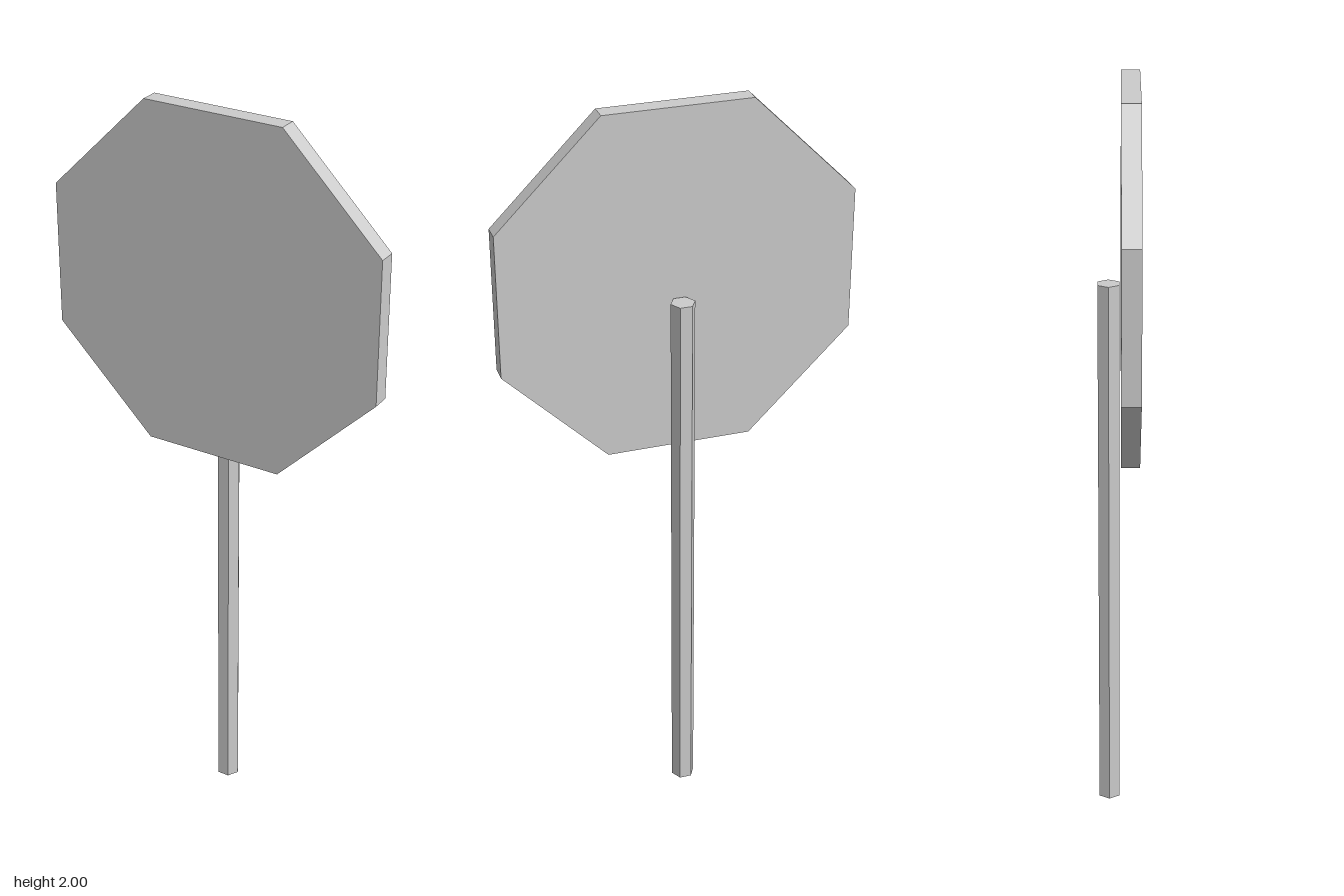
import * as THREE from 'three';

// Regular prism along y, turned so its sides line up with the axes
function prism(name, radius, length, sides) {
  const geometry = new THREE.CylinderGeometry(radius, radius, length, sides, 1, false, Math.PI / sides);
  const material = new THREE.MeshStandardMaterial({ color: 0xcccccc, flatShading: true });
  const mesh = new THREE.Mesh(geometry, material);
  mesh.name = name;
  return mesh;
}

export function createModel() {
  const group = new THREE.Group();
  group.name = 'octagonalSign';

  // Octagonal panel, facing forward
  const halfWidth = 0.46;
  const panel = prism('signPanel', halfWidth / Math.cos(Math.PI / 8), 0.048, 8);
  panel.rotation.x = Math.PI / 2;
  panel.position.set(0, 2 - halfWidth, 0.029);

  // Hexagonal post behind the panel
  const postHeight = 1.502;
  const post = prism('post', 0.032, postHeight, 6);
  post.position.set(0, postHeight / 2, -0.0265);

  group.add(panel, post);
  return group;
}
